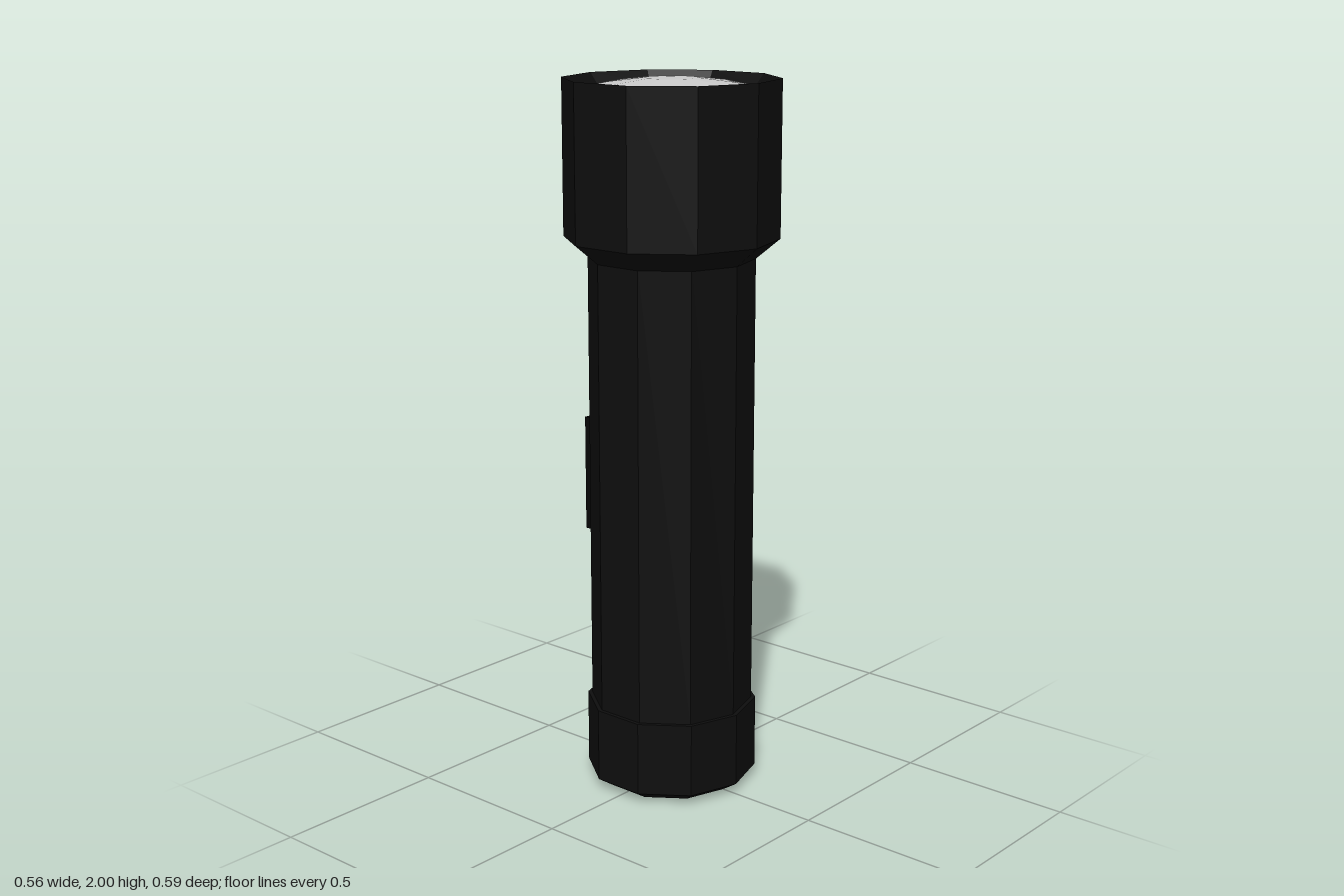
import * as THREE from 'three';

const SIDES = 10;

const material = (color) => new THREE.MeshStandardMaterial({ color, flatShading: true });

// Ten-sided turned part; profile runs from the bottom up as [radius, height]
function turned(name, profile, mat) {
  const points = profile.map(([r, y]) => new THREE.Vector2(r, y));
  const mesh = new THREE.Mesh(new THREE.LatheGeometry(points, SIDES), mat);
  mesh.name = name;
  return mesh;
}

export function createModel() {
  const group = new THREE.Group();
  group.name = 'flashlight';
  const casing = material(0x0e0e0e);
  const rubber = material(0x050505);
  const glass = material(0xcccccc);

  // Tail cap with a chamfered base and a small step up to the barrel
  group.add(turned('tailCap', [[0, 0], [0.195, 0], [0.242, 0.03], [0.242, 0.24], [0.23, 0.24]], casing));

  // Straight barrel
  group.add(turned('barrel', [[0.23, 0.24], [0.23, 1.53]], casing));

  // Flared head, its rim sloping inward to the lens
  group.add(turned('head', [[0.23, 1.515], [0.296, 1.57], [0.296, 1.998], [0.268, 1.965]], casing));

  // Shallow faceted lens dome
  group.add(turned('lens', [[0.268, 1.965], [0.173, 1.986], [0.073, 1.998], [0, 2]], glass));

  // Switch on the back of the barrel
  const button = new THREE.Mesh(new THREE.BoxGeometry(0.16, 0.33, 0.05), rubber);
  button.name = 'switch';
  button.position.set(0, 0.875, -0.23);
  group.add(button);

  return group;
}
